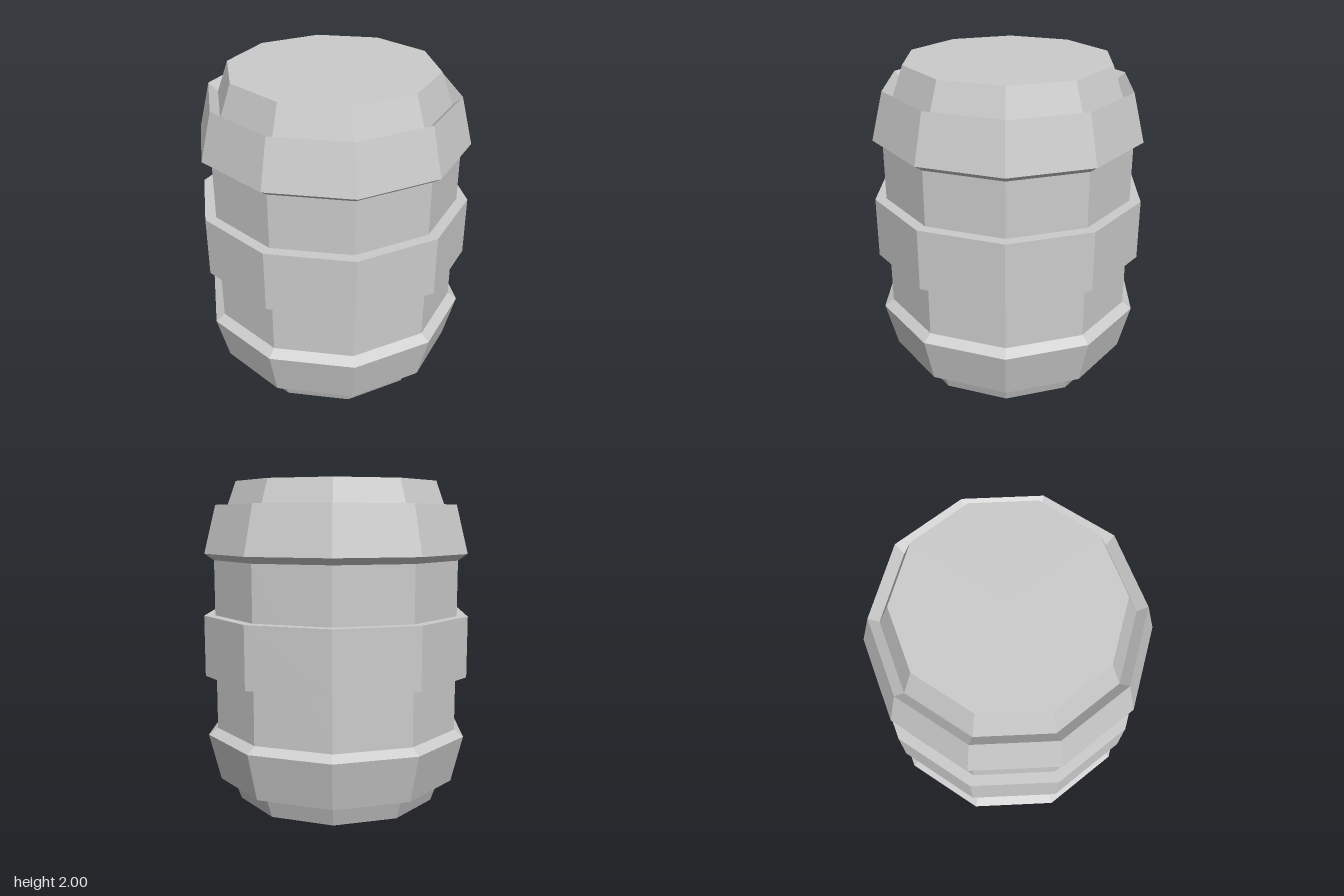
import * as THREE from 'three';

const SIDES = 10;
const material = new THREE.MeshStandardMaterial({ color: 0xcccccc, flatShading: true });

// Ten-sided ring swept from a [radius, height] profile listed bottom to top, corners on the x axis
function ring(name, profile) {
  const points = profile.map(([r, y]) => new THREE.Vector2(r, y));
  const mesh = new THREE.Mesh(new THREE.LatheGeometry(points, SIDES, Math.PI / 2), material);
  mesh.name = name;
  return mesh;
}

// Flips a profile about mid-height, keeping the bottom-to-top order
const flip = (profile) => profile.map(([r, y]) => [r, 2 - y]).reverse();

export function createModel() {
  const barrel = new THREE.Group();
  barrel.name = 'barrel';

  // Staved body: straight middle, tapered ends, closed lids
  const upperBody = [[0.777, 1.525], [0.705, 1.805], [0.635, 2], [0, 2]];
  barrel.add(ring('body', [...flip(upperBody), ...upperBody]));

  // Slanted end hoops, standing proud of the tapered ends
  const upperHoop = [[0.777, 1.525], [0.835, 1.565], [0.762, 1.857], [0.705, 1.805]];
  barrel.add(ring('upperHoop', upperHoop));
  barrel.add(ring('lowerHoop', flip(upperHoop)));

  // Wide straight hoop around the middle
  barrel.add(ring('middleHoop', [[0.777, 0.812], [0.845, 0.812], [0.845, 1.188], [0.777, 1.188]]));

  return barrel;
}
